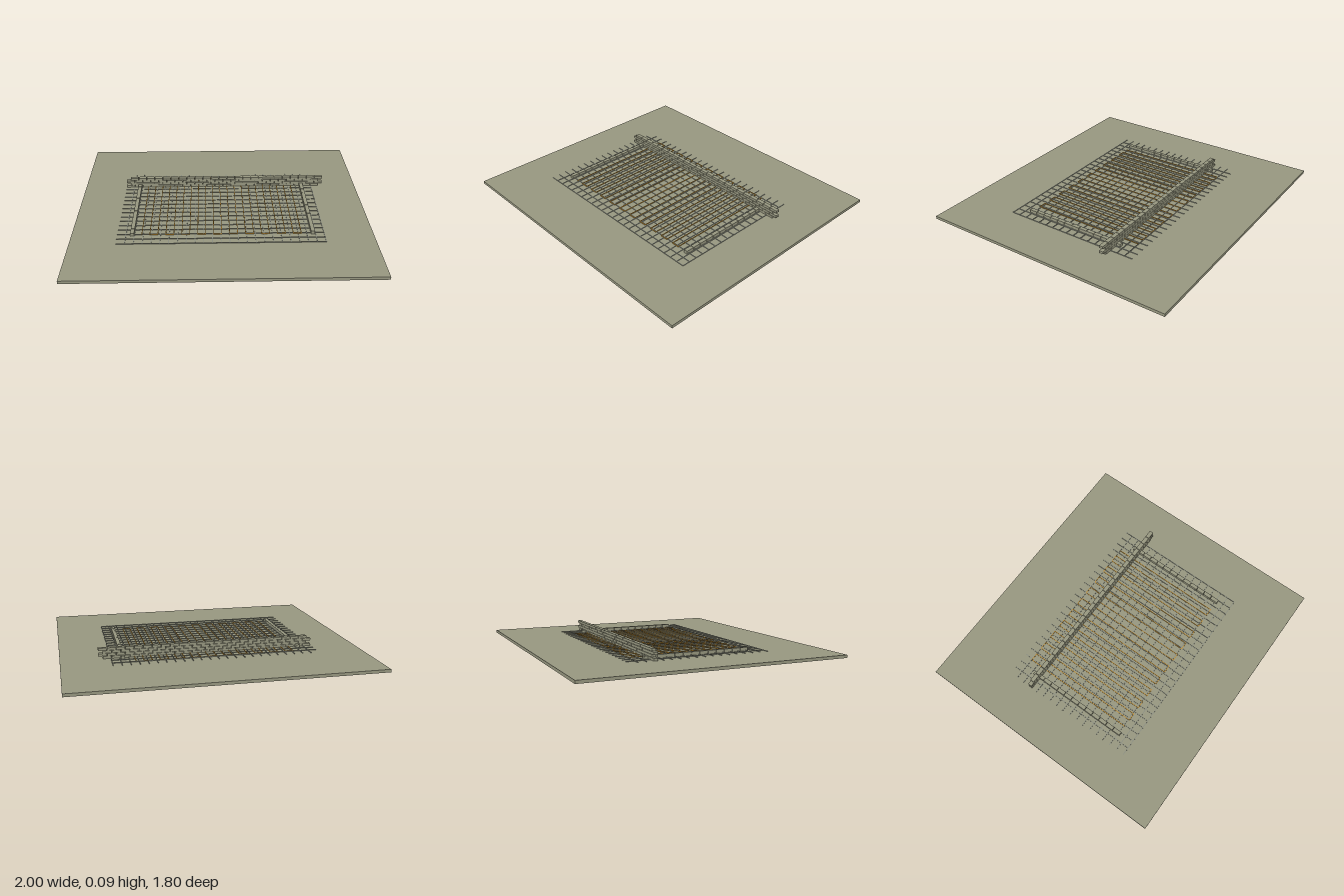
import * as THREE from 'three';

export function createModel() {
  const model = new THREE.Group();
  const mat = (name, color) => {
    const m = new THREE.MeshStandardMaterial({ color });
    m.name = name;
    return m;
  };
  const concrete = mat('olive concrete', 0x96967f);
  const steel = mat('grey steel', 0x8a8d80);
  const orange = mat('orange pipe', 0xc08a2a);

  const group = (name) => {
    const g = new THREE.Group();
    g.name = name;
    model.add(g);
    return g;
  };
  const box = (parent, name, material, w, h, d, x, y, z) => {
    const m = new THREE.Mesh(new THREE.BoxGeometry(w, h, d), material);
    m.name = name;
    m.position.set(x, y, z);
    parent.add(m);
  };

  // Ground slab
  box(model, 'slab', concrete, 2, 0.02, 1.8, 0, 0.01, 0);

  // Reinforcing mesh: the bars overhang one cell at the left and back
  const mesh = group('reinforcingMesh');
  const cell = 0.0571, right = 0.673, front = 0.503;
  for (let i = 0; i < 24; i++)
    box(mesh, 'lengthBar', steel, 0.005, 0.004, 0.97, right - i * cell, 0.022, 0.018);
  for (let i = 0; i < 17; i++)
    box(mesh, 'crossBar', steel, 1.37, 0.004, 0.005, -0.012, 0.023, front - i * cell);

  // Heating pipe: straight runs joined alternately at the front and back
  const pipe = group('heatingPipe');
  const runs = 21, step = 0.0528;
  for (let i = 0; i < runs; i++) {
    const x = -0.535 + i * step;
    box(pipe, 'pipeRun', orange, 0.004, 0.004, 0.81, x, 0.025, -0.005);
    if (i < runs - 1)
      box(pipe, 'pipeReturn', orange, step, 0.004, 0.004, x + step / 2, 0.025, i % 2 ? 0.398 : -0.408);
  }

  // Back wall: four staggered courses
  const wall = group('backWall');
  const pitch = 0.0593, rise = 0.0187;
  for (let row = 0; row < 4; row++) {
    const start = row % 2 ? -0.667 : -0.697;
    for (let i = 0; i < 24; i++)
      box(wall, 'brick', concrete, pitch - 0.003, rise - 0.002, 0.028,
        start + (i + 0.5) * pitch, 0.02 + (row + 0.5) * rise, -0.292);
  }

  // Low side walls, with a half brick passing behind the back wall
  for (const side of [-1, 1]) {
    const low = group(side < 0 ? 'rightSideWall' : 'leftSideWall');
    const x = side * 0.597;
    for (let i = 0; i < 12; i++)
      box(low, 'brick', concrete, 0.026, 0.023, pitch - 0.003, x, 0.0315, 0.408 - (i + 0.5) * pitch);
    box(low, 'endBrick', concrete, 0.026, 0.02, 0.03, x, 0.03, -0.318);
  }
  return model;
}
